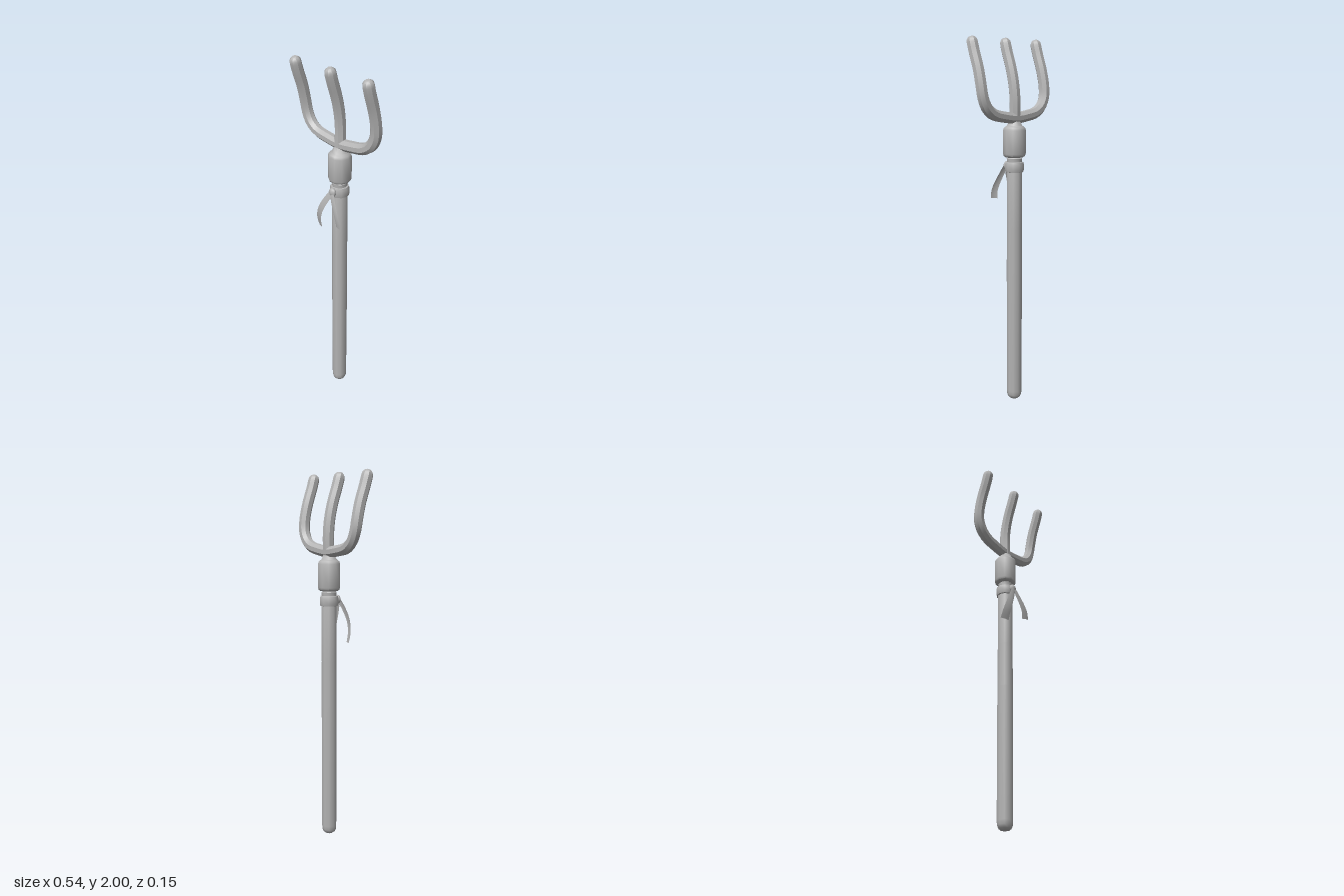
import * as THREE from 'three';
import { toCreasedNormals } from 'three/addons/utils/BufferGeometryUtils.js';

const steel = new THREE.MeshStandardMaterial({ color: 0xb4b4b4 });
steel.name = 'plain grey';
const cloth = steel.clone();
cloth.side = THREE.DoubleSide;
const AXIS_Z = -0.016; // the handle sits slightly behind the centre

const V = (x, y, z) => new THREE.Vector3(x, y, z);
const curve = (pts) => new THREE.CatmullRomCurve3(pts.map((p) => V(...p)));

function add(group, name, geometry, material = steel) {
  const mesh = new THREE.Mesh(geometry, material);
  mesh.name = name;
  group.add(mesh);
  return mesh;
}

// Ten-sided turned part around the handle axis, profile given as [radius, y]
function turned(profile, crease = 0.75) {
  const g = new THREE.LatheGeometry(profile.map((p) => new THREE.Vector2(...p)), 10, Math.PI / 2);
  g.translate(0, 0, AXIS_Z);
  return toCreasedNormals(g, crease);
}

// Octagonal rod swept along rings of { centre, tangent, radius }, closed at both ends
function rod(rings) {
  const n = 8, pos = [], idx = [];
  for (const { p, t, r } of rings) {
    const b = V(0, 0, 1).addScaledVector(t, -t.z).normalize();
    const s = new THREE.Vector3().crossVectors(b, t);
    for (let i = 0; i < n; i++) {
      const a = ((i + 0.5) / n) * Math.PI * 2;
      const q = p.clone().addScaledVector(b, r * Math.cos(a)).addScaledVector(s, r * Math.sin(a));
      pos.push(q.x, q.y, q.z);
    }
  }
  for (let k = 0; k < rings.length - 1; k++) {
    for (let i = 0; i < n; i++) {
      const a = k * n + i, b = k * n + ((i + 1) % n);
      idx.push(a, a + n, b, b, a + n, b + n);
    }
  }
  const e = (rings.length - 1) * n;
  for (let i = 1; i < n - 1; i++) idx.push(0, i, i + 1, e, e + i + 1, e + i);
  // Keep every face turned outwards
  const P = (i) => V(pos[i * 3], pos[i * 3 + 1], pos[i * 3 + 2]);
  const normal = P(idx[1]).sub(P(0)).cross(P(idx[2]).sub(P(0)));
  if (normal.dot(P(0).sub(rings[0].p)) < 0) {
    for (let i = 0; i < idx.length; i += 3) [idx[i + 1], idx[i + 2]] = [idx[i + 2], idx[i + 1]];
  }
  const g = new THREE.BufferGeometry();
  g.setAttribute('position', new THREE.Float32BufferAttribute(pos, 3));
  g.setIndex(idx);
  return toCreasedNormals(g, 0.6);
}

// Rings along a path, with rounded tips where asked
function ringsAlong(path, steps, r, roundStart, roundEnd) {
  const rings = [], len = path.getLength();
  const tip = [[0, 0.4], [0.007, 0.72], [0.018, 0.94]];
  const put = (u, k) => rings.push({ p: path.getPointAt(u), t: path.getTangentAt(u), r: r * k });
  if (roundStart) tip.forEach(([d, k]) => put(d / len, k));
  const u0 = roundStart ? 0.032 / len : 0, u1 = roundEnd ? 1 - 0.032 / len : 1;
  for (let i = 0; i <= steps; i++) put(u0 + ((u1 - u0) * i) / steps, 1);
  if (roundEnd) [...tip].reverse().forEach(([d, k]) => put(1 - d / len, k));
  return rings;
}

// Thin ribbon: centre line widened along x, tilted to follow its slope
function ribbon(points, w0, w1, tilt) {
  const path = curve(points), steps = 10, pos = [], idx = [];
  for (let i = 0; i <= steps; i++) {
    const u = i / steps, p = path.getPointAt(u), t = path.getTangentAt(u);
    const half = (w0 + (w1 - w0) * u) / 2;
    const side = V(-t.y, t.x, tilt * u).normalize().multiplyScalar(half);
    for (const [k, lift] of [[-1, 0], [0, 0.004], [1, 0]]) {
      pos.push(p.x + side.x * k, p.y + side.y * k, p.z + side.z * k + lift);
    }
    if (i < steps) {
      for (let j = 0; j < 2; j++) {
        const a = i * 3 + j;
        idx.push(a, a + 3, a + 1, a + 1, a + 3, a + 4);
      }
    }
  }
  const g = new THREE.BufferGeometry();
  g.setAttribute('position', new THREE.Float32BufferAttribute(pos, 3));
  g.setIndex(idx);
  g.computeVertexNormals();
  return g;
}

export function createModel() {
  const model = new THREE.Group();
  model.name = 'trident';

  // Long handle with a rounded butt
  add(model, 'handle', turned([
    [0, 0], [0.022, 0.002], [0.034, 0.011], [0.041, 0.028], [0.042, 0.05],
    [0.043, 0.75], [0.042, 1.0], [0.042, 1.31], [0.036, 1.34], [0.036, 1.4],
  ]));

  // Neck ring and the socket that holds the fork
  add(model, 'neckRing', turned([[0.034, 1.352], [0.041, 1.358], [0.042, 1.377], [0.035, 1.384]]));
  add(model, 'socket', turned([
    [0.03, 1.383], [0.048, 1.384], [0.058, 1.391], [0.062, 1.403], [0.062, 1.527],
    [0.057, 1.54], [0.046, 1.548], [0.042, 1.552], [0.03, 1.575], [0.018, 1.59], [0, 1.594],
  ]));

  // Outer prongs: one rod bent into a U, curving forward at the tips
  const half = [
    [0.24, 2.0, 0.056], [0.24, 1.93, 0.036], [0.24, 1.84, 0.006], [0.24, 1.76, -0.012],
    [0.234, 1.7, -0.019], [0.21, 1.65, -0.02], [0.165, 1.616, -0.02], [0.08, 1.598, -0.02],
  ];
  const mirrored = half.map(([x, y, z]) => [-x, y, z]).reverse();
  const fork = curve([...half, [0, 1.59, -0.02], ...mirrored]);
  add(model, 'outerProngs', rod(ringsAlong(fork, 44, 0.0305, true, true)));

  // Middle prong
  const middle = curve([[0, 1.57, -0.018], [0, 1.68, -0.02], [0, 1.76, -0.012],
    [0, 1.84, 0.006], [0, 1.93, 0.036], [0, 2.0, 0.056]]);
  add(model, 'middleProng', rod(ringsAlong(middle, 14, 0.0305, false, true)));

  // Cloth band tied round the neck, with a knot and two loose ends
  add(model, 'clothBand', turned([
    [0.041, 1.303], [0.049, 1.305], [0.052, 1.318], [0.052, 1.345], [0.048, 1.357], [0.036, 1.36],
  ]));
  const knot = add(model, 'knot', new THREE.SphereGeometry(1, 10, 8));
  knot.scale.set(0.023, 0.025, 0.016);
  knot.position.set(0, 1.335, 0.038);
  add(model, 'rightRibbon', ribbon([[0, 1.335, 0.046], [-0.03, 1.285, 0.06],
    [-0.06, 1.225, 0.068], [-0.079, 1.165, 0.062], [-0.084, 1.108, 0.047]], 0.03, 0.05, 0.4), cloth);
  add(model, 'leftRibbon', ribbon([[0, 1.335, 0.046], [0.025, 1.285, 0.058],
    [0.05, 1.235, 0.068], [0.066, 1.195, 0.071], [0.07, 1.16, 0.068]], 0.03, 0.042, 0.3), cloth);

  return model;
}
